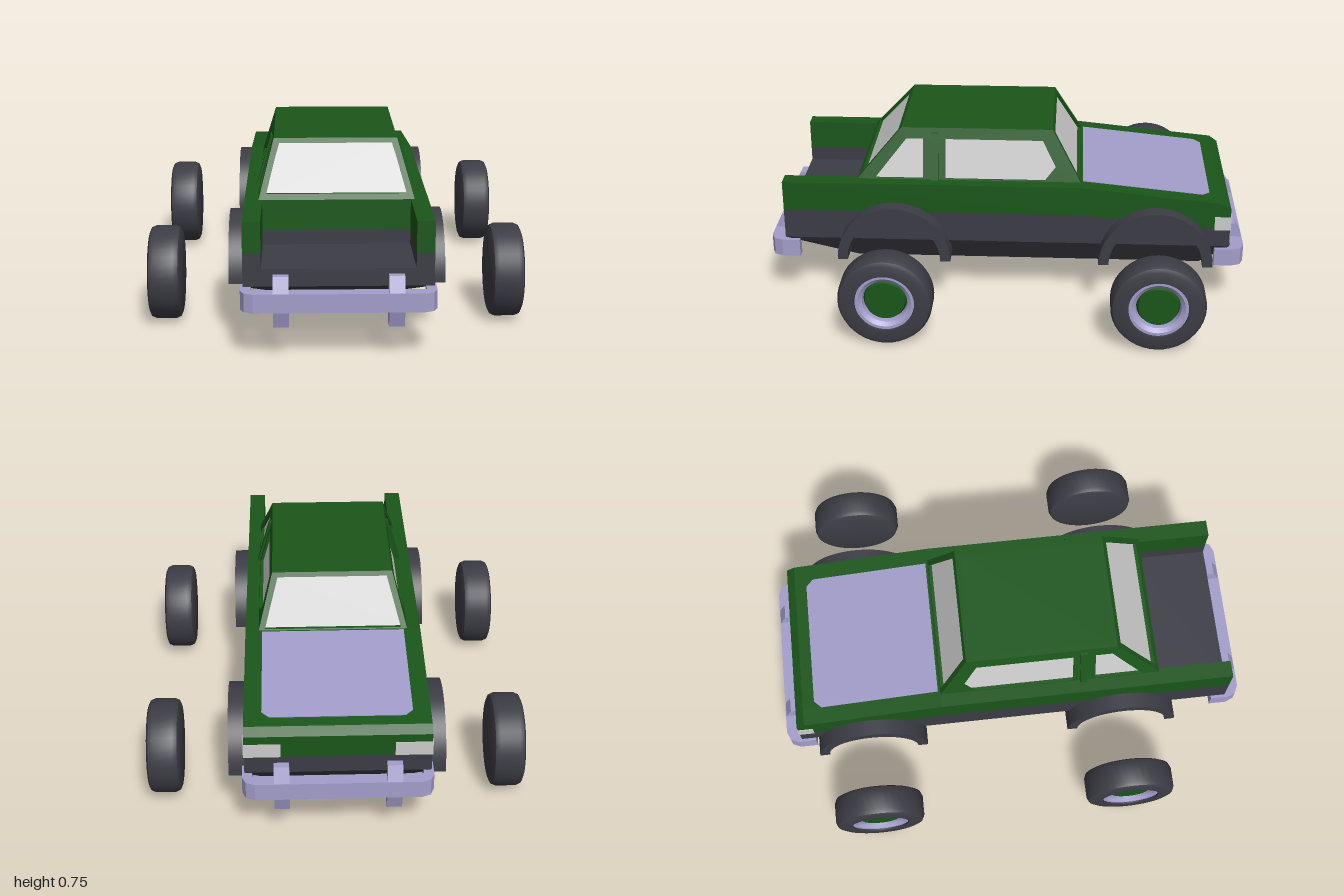
import * as THREE from 'three';
import { toCreasedNormals } from 'three/addons/utils/BufferGeometryUtils.js';
import { ConvexGeometry } from 'three/addons/geometries/ConvexGeometry.js';

const mat = (color) => new THREE.MeshStandardMaterial({ color });
const green = mat(0x1a561a), dark = mat(0x3c3d45), lilac = mat(0xa39ecb), grey = mat(0xcccccc);
lilac.side = THREE.DoubleSide;

export function createModel() {
  const car = new THREE.Group();
  car.name = 'pickupTruck';

  const add = (name, geo, material, parent = car) => {
    const mesh = new THREE.Mesh(geo, material);
    mesh.name = name;
    parent.add(mesh);
    return mesh;
  };
  const polygon = (pts) => new THREE.Shape(pts.map(([a, b]) => new THREE.Vector2(a, b)));
  const extrude = (pts, depth, holes = []) => {
    const shape = polygon(pts);
    shape.holes = holes.map(polygon);
    return new THREE.ExtrudeGeometry(shape, { depth, bevelEnabled: false });
  };
  // Outline in [z, y], extruded from x0 to x1
  const sideways = (pts, x0, x1, holes = []) => {
    const flip = (list) => list.map(([z, y]) => [-z, y]);
    return extrude(flip(pts), x1 - x0, holes.map(flip)).rotateY(Math.PI / 2).translate(x0, 0, 0);
  };
  // Lean a panel: shift x or z in proportion to the height above the beltline
  const lean = (geo, axis, slope) => {
    const p = geo.attributes.position;
    for (let i = 0; i < p.count; i++) {
      p.setComponent(i, axis, p.getComponent(i, axis) + slope * (p.getY(i) - 0.54));
    }
    geo.computeVertexNormals();
    return geo;
  };
  const span = (s, inner, outer) => (s > 0 ? [inner, outer] : [-outer, -inner]);

  // Underbody with chamfered sides and ends
  const corners = [];
  for (const s of [-1, 1]) {
    for (const [x, y, z] of [[0.365, 0.285, 0.935], [0.365, 0.285, -0.935], [0.285, 0.17, 0.64], [0.285, 0.17, -0.82]]) {
      corners.push(new THREE.Vector3(s * x, y, z));
    }
  }
  add('underbody', new ConvexGeometry(corners), dark);

  // Lower and upper body: centre section stops at the load bed, sides run full length
  const nose = [[-0.31, 0.54], [-0.9, 0.48], [-0.935, 0.455], [-0.935, 0.36], [-0.3, 0.415]];
  const sill = [[-0.3, 0.415], [-0.935, 0.36], [-0.935, 0.285]];
  add('bedFloorAndLowerBody', sideways(
    [[0.935, 0.285], [0.935, 0.355], [0.62, 0.355], [0.62, 0.415], ...sill], -0.295, 0.295), dark);
  add('upperBody', sideways([[0.62, 0.415], [0.62, 0.54], ...nose], -0.295, 0.295), green);
  for (const s of [-1, 1]) {
    const [a, b] = span(s, 0.295, 0.365);
    add('lowerSide', sideways([[0.935, 0.285], [0.935, 0.415], ...sill], a, b), dark);
    add('upperSide', sideways([[0.935, 0.415], [0.935, 0.54], ...nose], a, b), green);
  }

  // Bonnet panel lying on the sloped nose
  const bonnet = extrude([[-0.295, 0.32], [0.295, 0.32], [0.295, 0.82], [0.265, 0.85], [-0.265, 0.85], [-0.295, 0.82]], 0.006);
  bonnet.rotateX(-Math.PI / 2).translate(0, 0.537, 0);
  const bp = bonnet.attributes.position;
  for (let i = 0; i < bp.count; i++) bp.setY(i, bp.getY(i) + (bp.getZ(i) + 0.31) * 0.06 / 0.59);
  bonnet.computeVertexNormals();
  add('bonnetPanel', bonnet, lilac);

  // Cab: leaning frames with window openings, glass set just behind them
  const inward = -0.06 / 0.21;
  const sideFrame = [[0.625, 0.54], [0.44, 0.75], [-0.19, 0.75], [-0.31, 0.54]];
  const sideWindows = [
    [[0.55, 0.545], [0.42, 0.705], [0.35, 0.705], [0.35, 0.545]],
    [[0.255, 0.545], [0.255, 0.705], [-0.15, 0.705], [-0.205, 0.6], [-0.16, 0.545]],
  ];
  const glassSide = [[0.6, 0.541], [0.43, 0.735], [-0.18, 0.735], [-0.29, 0.541]];
  for (const s of [-1, 1]) {
    const frame = span(s, 0.285, 0.31), glass = span(s, 0.28, 0.295), pillar = span(s, 0.29, 0.32);
    add('sideFrame', lean(sideways(sideFrame, ...frame, sideWindows), 0, s * inward), green);
    add('sideGlass', lean(sideways(glassSide, ...glass), 0, s * inward), grey);
    add('doorPillar', lean(sideways(
      [[0.315, 0.54], [0.315, 0.73], [0.285, 0.73], [0.285, 0.54]], ...pillar), 0, s * inward), green);
  }
  const endFrame = [[-0.31, 0.54], [0.31, 0.54], [0.25, 0.75], [-0.25, 0.75]];
  const endPanel = (label, z, slope, sign, sillY) => {
    const hole = [[-0.284, sillY], [0.284, sillY], [0.228, 0.732], [-0.228, 0.732]];
    const glass = [[-0.295, 0.541], [0.295, 0.541], [0.24, 0.74], [-0.24, 0.74]];
    const place = (pts, depth, inset, holes) => lean(
      extrude(pts, depth, holes).translate(0, 0, sign > 0 ? z - depth - inset : z + inset), 2, slope);
    add(label + 'Frame', place(endFrame, 0.03, 0, [hole]), green);
    add(label + 'Glass', place(glass, 0.012, 0.014), grey);
  };
  endPanel('rearWindow', 0.625, -0.185 / 0.21, 1, 0.56);
  endPanel('windscreen', -0.31, 0.12 / 0.21, -1, 0.545);
  add('roof', new THREE.BoxGeometry(0.5, 0.015, 0.63).translate(0, 0.7425, 0.125), green);

  // Headlights wrapping the nose corners
  for (const s of [-1, 1]) {
    add('headlight', new THREE.BoxGeometry(0.146, 0.06, 0.068).translate(s * 0.295, 0.39, -0.904), grey);
  }

  // Bumpers with wrapped ends and two upright guards each
  const bar = [[-0.375, 0.875], [-0.375, 0.95], [-0.36, 0.985], [-0.325, 1], [0.325, 1], [0.36, 0.985], [0.375, 0.95],
    [0.375, 0.875], [0.335, 0.875], [0.335, 0.945], [-0.335, 0.945], [-0.335, 0.875]];
  const guard = [[0.94, 0.335], [0.97, 0.335], [1, 0.27], [1, 0.21], [0.977, 0.135], [0.91, 0.135], [0.905, 0.2], [0.93, 0.265]];
  for (const turn of [0, Math.PI]) {
    const bumper = new THREE.Group();
    bumper.name = 'bumper';
    bumper.rotation.y = turn;
    car.add(bumper);
    add('bumperBar', extrude(bar, 0.075).rotateX(Math.PI / 2).translate(0, 0.275, 0), lilac, bumper);
    for (const s of [-1, 1]) add('bumperGuard', sideways(guard, ...span(s, 0.19, 0.25)), lilac, bumper);
  }

  // Wheel arches: half rings on the flanks; wheels stand clear of the body
  const archShape = new THREE.Shape();
  archShape.absarc(0, 0, 0.238, 0, Math.PI, false);
  archShape.absarc(0, 0, 0.195, Math.PI, 0, true);
  const archGeo = toCreasedNormals(new THREE.ExtrudeGeometry(archShape,
    { depth: 0.12, bevelEnabled: false, curveSegments: 20 }).rotateY(Math.PI / 2), 0.6);
  const lathe = (pts) => toCreasedNormals(
    new THREE.LatheGeometry(pts.map(([r, y]) => new THREE.Vector2(r, y)), 40), 0.5);
  const tyreGeo = lathe([[0, -0.065], [0.168, -0.065], [0.184, -0.058], [0.192, -0.04], [0.192, 0.04],
    [0.184, 0.058], [0.168, 0.065], [0.122, 0.065], [0.118, 0.02], [0, 0.02]]);
  const rimGeo = lathe([[0.12, 0.02], [0.12, 0.058], [0.108, 0.058], [0.092, 0.045], [0.088, 0.02]]);
  const hubGeo = toCreasedNormals(new THREE.CylinderGeometry(0.08, 0.088, 0.02, 40).translate(0, 0.03, 0), 0.5);
  for (const s of [-1, 1]) {
    for (const z of [0.468, -0.628]) {
      add('wheelArch', archGeo, dark).position.set(s > 0 ? 0.31 : -0.43, 0.218, z);
      const wheel = new THREE.Group();
      wheel.name = 'wheel';
      wheel.position.set(s * 0.695, 0.195, z);
      wheel.rotation.z = -s * Math.PI / 2;
      add('tyre', tyreGeo, dark, wheel);
      add('rim', rimGeo, lilac, wheel);
      add('hub', hubGeo, green, wheel);
      car.add(wheel);
    }
  }
  return car;
}
